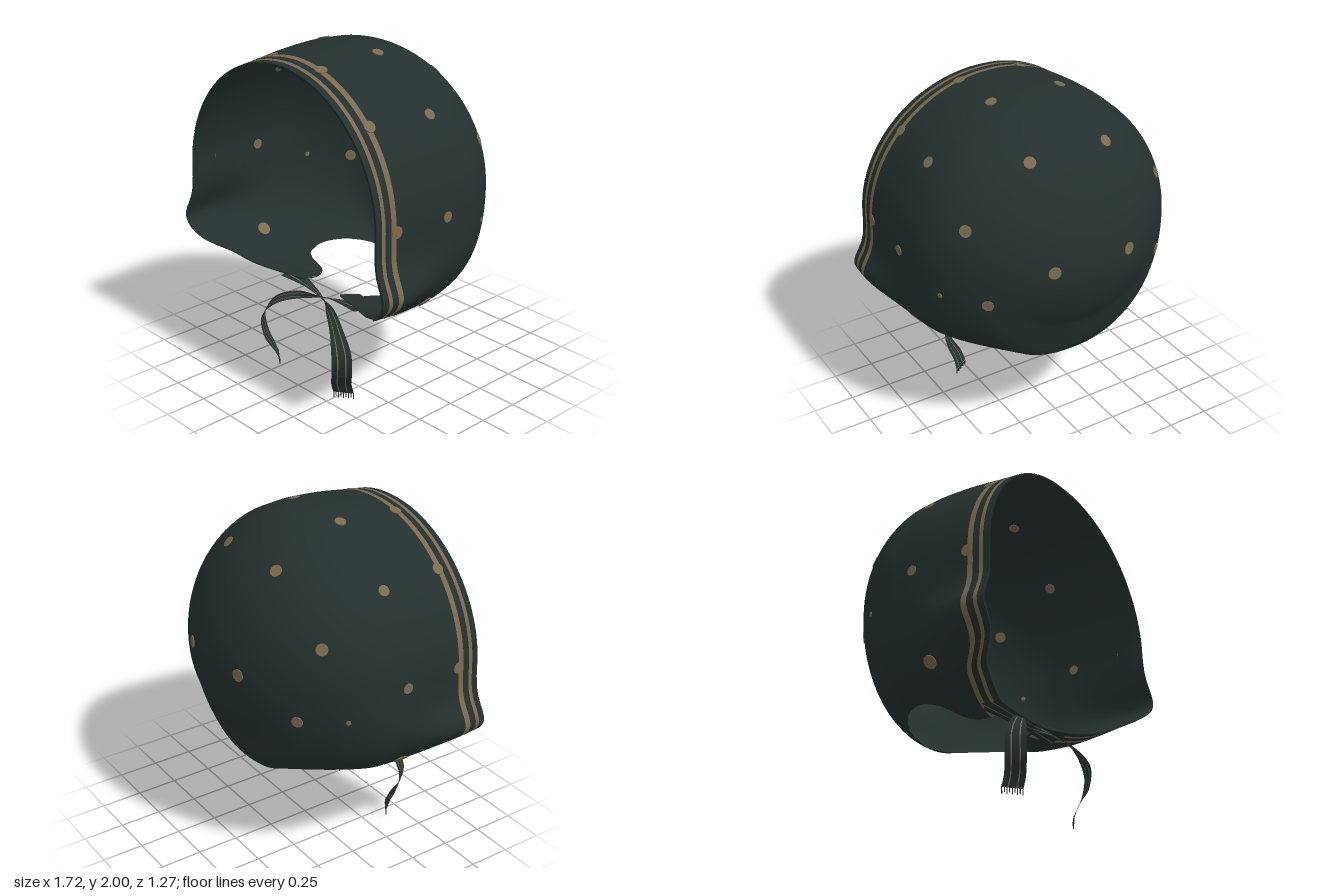
import * as THREE from 'three';
import { mergeVertices } from 'three/addons/utils/BufferGeometryUtils.js';

const { lerp, smoothstep } = THREE.MathUtils;
const BACK = 0.635, MID = 1.2;

// Smooth interpolation through a short list of [x, y] points
function curve(pts) {
  const n = pts.length - 1;
  const slope = (i) => {
    const a = pts[Math.max(0, i - 1)], b = pts[Math.min(n, i + 1)];
    return (b[1] - a[1]) / (b[0] - a[0]);
  };
  return (x) => {
    if (x <= pts[0][0]) return pts[0][1];
    if (x >= pts[n][0]) return pts[n][1];
    let i = 0;
    while (x > pts[i + 1][0]) i++;
    const [x0, y0] = pts[i], [x1, y1] = pts[i + 1], h = x1 - x0, t = (x - x0) / h;
    const t2 = t * t, t3 = t2 * t;
    return y0 * (2 * t3 - 3 * t2 + 1) + y1 * (3 * t2 - 2 * t3)
      + h * (slope(i) * (t3 - 2 * t2 + t) + slope(i + 1) * (t3 - t2));
  };
}

const topY = curve([[0, 1.992], [0.1, 2], [0.3, 1.99], [0.45, 1.97], [0.6, 1.95]]);
const halfWidth = curve([[0, 0.795], [0.15, 0.8], [0.45, 0.787], [0.6, 0.783]]);
const bottomY = curve([[-0.4, 0.55], [-0.1, 0.56], [0.1, 0.54], [0.4, 0.53], [0.6, 0.56]]);
const rimZ = curve([[0.06, 0.3], [0.45, 0.42], [0.69, 0.48], [0.95, 0.6], [1.15, 0.635], [1.6, 0.62], [Math.PI, 0.59]]);
const neckFront = curve([[-0.02, 0.45], [0.1, 0.42], [0.25, 0.25], [0.6, 0.15]]);

// Size of the cross-section at depth z
function section(z) {
  const q = Math.min(1, Math.max(0, -z / BACK));
  const dome = (p) => Math.pow(Math.max(0, 1 - Math.pow(q, p)), 1 / p);
  return {
    w: halfWidth(z) * dome(1.9),
    up: (topY(z) - MID) * dome(1.85),
    down: (MID - bottomY(z)) * lerp(dome(2), 1, 1 - smoothstep(q, 0.63, 0.82)),
    n: lerp(2.1, 3.5, smoothstep(z, -0.5, 0.1)),
  };
}

// Point on the cloth: z runs front to back, s runs from the neck edge over the top
function cloth(z, s, inset = 0) {
  const c = section(z);
  const hole = z < -0.02 ? 0.45 * Math.sqrt(Math.max(0, 1 - ((z + 0.02) / 0.38) ** 2)) : neckFront(z);
  const a0 = c.w > 0.01 ? Math.asin(Math.min(1, Math.pow(hole / c.w, c.n / 2))) : 0;
  const a = lerp(a0, 2 * Math.PI - a0, s);
  const sn = Math.sin(a), cs = Math.cos(a), e = cs > 0 ? 2 / c.n : 1;
  const y = cs > 0 ? MID - (c.down - inset) * Math.pow(cs, e) : MID - (c.up - inset) * cs;
  const flare = 0.1 * Math.exp(-(((y - 0.84) / 0.13) ** 2)) * smoothstep(z, 0, 0.5);
  const x = Math.sign(sn) * ((c.w - inset) * Math.pow(Math.abs(sn), e) + flare * Math.min(1, Math.abs(sn) * 2));
  const front = rimZ(Math.min(a, 2 * Math.PI - a));
  return new THREE.Vector3(x, y, z + (front - 0.6) * smoothstep(z, -0.2, 0.6));
}

// Surface from rows of points, one material group per row
function grid(rows, cols, point, materialOf) {
  const pos = [], idx = [], geo = new THREE.BufferGeometry();
  for (let i = 0; i <= rows; i++)
    for (let j = 0; j <= cols; j++) pos.push(...point(i, j / cols).toArray());
  for (let i = 0; i < rows; i++) {
    geo.addGroup(idx.length, cols * 6, materialOf(i));
    for (let j = 0; j < cols; j++) {
      const p = i * (cols + 1) + j, q = p + cols + 1;
      idx.push(p, q, p + 1, p + 1, q, q + 1);
    }
  }
  geo.setAttribute('position', new THREE.Float32BufferAttribute(pos, 3));
  geo.setIndex(idx);
  const merged = mergeVertices(geo, 1e-5);
  merged.computeVertexNormals();
  return merged;
}

export function createModel() {
  const dark = new THREE.MeshStandardMaterial({ color: 0x24302f, side: THREE.DoubleSide });
  dark.name = 'darkGreenCloth';
  const tan = new THREE.MeshStandardMaterial({ color: 0x7c6a4e, side: THREE.DoubleSide });
  tan.name = 'tanTrim';
  const model = new THREE.Group();
  model.name = 'bonnet';
  const add = (parent, name, geo, mat) => {
    const m = new THREE.Mesh(geo, mat);
    m.name = name;
    parent.add(m);
    return m;
  };

  // Hood, with two trim stripes running along the front edge
  const zs = [0.6, 0.562, 0.538, 0.498, 0.464];
  for (let i = 1; i <= 10; i++) zs.push(0.464 * (1 - i / 10));
  for (let i = 1; i <= 32; i++) zs.push(-BACK * Math.sin((i / 32) * Math.PI / 2));
  const hood = grid(zs.length - 1, 112, (i, s) => cloth(zs[i], s), (i) => (i === 1 || i === 3 ? 1 : 0));
  add(model, 'hood', hood, [dark, tan]);

  // Folded hem inside the front edge
  const hem = [[0.6, 0], [0.6, 0.014], [0.52, 0.014], [0.44, 0.014], [0.43, 0]];
  add(model, 'hemLining', grid(4, 112, (i, s) => cloth(hem[i][0], s, hem[i][1]), () => 0), [dark]);

  // Spots: thin discs laid into the cloth, mirrored left and right
  const spots = new THREE.Group();
  spots.name = 'spots';
  model.add(spots);
  const P = hood.attributes.position, N = hood.attributes.normal;
  const list = [
    [0.24, 1.8, -0.35, 0.034], [0.24, 1.25, -0.6, 0.036], [0.61, 1.48, -0.31, 0.034],
    [0.54, 1.06, -0.41, 0.033], [0.72, 1.07, -0.215, 0.014], [0.22, 1.97, 0.08, 0.032],
    [0.61, 1.71, 0.08, 0.032], [0.79, 1.2, 0.12, 0.03], [0.72, 0.66, 0.17, 0.04],
    [0.2, 1.94, 0.468, 0.034], [0.57, 1.72, 0.475, 0.034], [0.785, 1.21, 0.48, 0.034],
  ];
  const v = new THREE.Vector3(), normal = new THREE.Vector3();
  for (const [x, y, z, r] of list) for (const side of [1, -1]) {
    const target = new THREE.Vector3(x * side, y, z);
    let best = 0, dist = Infinity;
    for (let i = 0; i < P.count; i++) {
      const d = v.fromBufferAttribute(P, i).distanceToSquared(target);
      if (d < dist) { dist = d; best = i; }
    }
    v.fromBufferAttribute(P, best);
    normal.fromBufferAttribute(N, best).normalize();
    target.addScaledVector(normal, -target.clone().sub(v).dot(normal));
    const spot = add(spots, 'spot', new THREE.CylinderGeometry(r, r, 0.009, 12), tan);
    spot.position.copy(target);
    spot.quaternion.setFromUnitVectors(new THREE.Vector3(0, 1, 0), normal);
  }

  // Ties: ribbons that cross under the chin and hang to a fringed end
  const path = [[-0.34, 0.55, 0.27], [-0.15, 0.535, 0.29], [0, 0.515, 0.32], [0.15, 0.49, 0.38], [0.27, 0.43, 0.44],
    [0.345, 0.32, 0.47], [0.335, 0.19, 0.46], [0.3, 0.1, 0.43], [0.29, 0.035, 0.405]];
  const half = [[0.02, 0, 0.08], [0.015, 0.008, 0.045], [0.005, 0.015, 0.025], [0.008, 0.018, -0.02], [0.02, 0.015, -0.03],
    [0.034, 0, -0.045], [0.036, 0, -0.045], [0.045, 0, -0.038], [0.05, 0, -0.035]];
  const toCurve = (pts) => new THREE.CatmullRomCurve3(pts.map((p) => new THREE.Vector3(...p)));
  const centre = toCurve(path), width = toCurve(half);
  const across = [-1, -0.46, -0.34, 0.34, 0.46, 1];
  for (const side of [1, -1]) {
    const tie = new THREE.Group();
    tie.name = side > 0 ? 'leftTie' : 'rightTie';
    model.add(tie);
    const at = (t, k) => {
      const p = centre.getPoint(t).addScaledVector(width.getPoint(t), k);
      p.x *= side;
      if (side < 0) p.y += 0.025 * t - 0.006;
      return p;
    };
    add(tie, 'ribbon', grid(5, 48, (i, t) => at(t, across[i]), (i) => i % 2), [dark, tan]);
    for (let k = 0; k < 9; k++) {
      const length = k % 2 ? 0.026 : 0.035;
      const thread = add(tie, 'fringe', new THREE.BoxGeometry(0.004, length, 0.004), dark);
      thread.position.copy(at(1, -0.95 + k * 0.2375));
      thread.position.y -= length / 2;
    }
  }
  return model;
}
